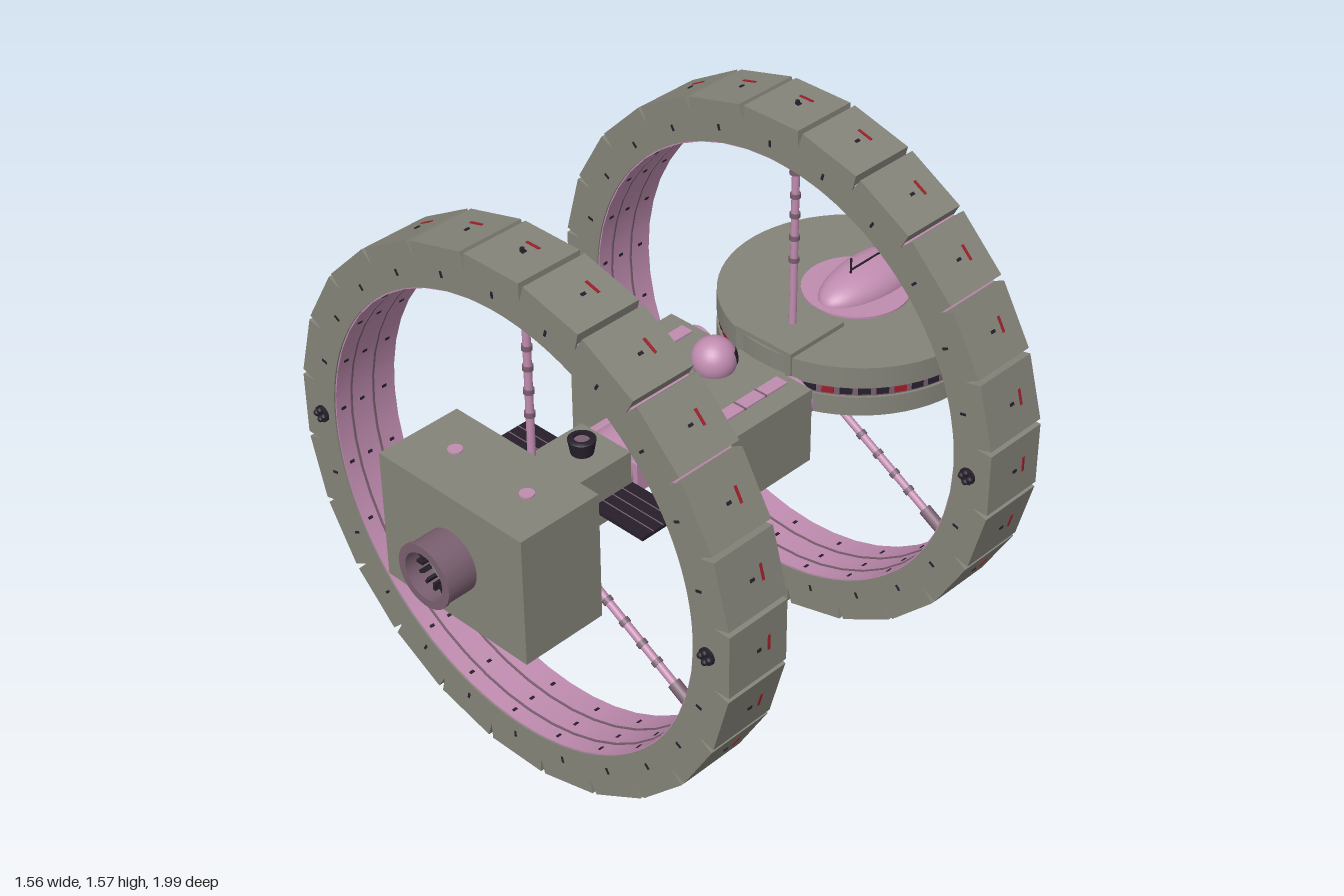
import * as THREE from 'three';
import { toCreasedNormals } from 'three/addons/utils/BufferGeometryUtils.js';

const mat = (name, color) => {
  const m = new THREE.MeshStandardMaterial({ color });
  m.name = name;
  return m;
};
const CY = 0.785; // height of the main axis

export function createModel() {
  const grey = mat('hull grey', 0x85847a);
  const pink = mat('panel pink', 0xc08cb0);
  const mauve = mat('dark mauve', 0x7a5f70);
  const black = mat('near black', 0x261f2b);
  const red = mat('marker red', 0x9c1f2a);
  const root = new THREE.Group();
  root.name = 'ringShip';

  const add = (parent, name, geo, material, x = 0, y = 0, z = 0) => {
    const m = new THREE.Mesh(geo, material);
    m.name = name;
    m.position.set(x, y, z);
    parent.add(m);
    return m;
  };
  // box given by its limits
  const block = (name, material, x0, x1, y0, y1, z0, z1, parent = root) =>
    add(parent, name, new THREE.BoxGeometry(x1 - x0, y1 - y0, z1 - z0), material,
      (x0 + x1) / 2, (y0 + y1) / 2, (z0 + z1) / 2);
  const cyl = (r, h, n = 24, r2 = r) => new THREE.CylinderGeometry(r, r2, h, n);
  const cylZ = (r, h, n = 24) => cyl(r, h, n).rotateX(Math.PI / 2);
  // closed lathe profile with sharp edges
  const lathe = (pts, n = 48) => toCreasedNormals(
    new THREE.LatheGeometry([...pts, pts[0]].map(p => new THREE.Vector2(...p)), n), 0.6);

  // ---- habitat rings ----
  const N = 24, A = Math.PI / N, D = 0.205, R = 0.775;
  const t = Math.tan(A), R1 = 0.725;
  const segShape = new THREE.Shape();
  segShape.absarc(0, 0, 0.656, Math.PI / 2 + A, Math.PI / 2 - A, true);
  segShape.lineTo(R1 * t, R1);
  segShape.lineTo(R * t - 0.008, R);
  segShape.lineTo(-R * t + 0.008, R);
  segShape.lineTo(-R1 * t, R1);
  const segGeo = new THREE.ExtrudeGeometry(segShape, { depth: D - 0.004, bevelEnabled: false, curveSegments: 3 });
  segGeo.translate(0, 0, -D / 2 + 0.004);
  // lining closes the gaps and carries the pink band on the rear side
  const liningGeo = lathe([[0.653, -D / 2], [0.692, -D / 2], [0.692, -D / 2 + 0.008],
    [0.748, -D / 2 + 0.008], [0.748, D / 2 - 0.006], [0.653, D / 2 - 0.004]]).rotateX(Math.PI / 2);
  const dashGeo = new THREE.BoxGeometry(0.045, 0.004, 0.008);
  const dotGeo = new THREE.BoxGeometry(0.008, 0.006, 0.014);
  const faceDotGeo = new THREE.BoxGeometry(0.007, 0.018, 0.004);

  const makeRing = (name, z) => {
    const ring = new THREE.Group();
    ring.name = name;
    ring.position.set(0, CY, z);
    root.add(ring);
    add(ring, 'ringLining', liningGeo, pink);
    for (const s of [-0.03, 0.045]) {
      add(ring, 'liningRib', lathe([[0.65, s], [0.655, s], [0.655, s + 0.006], [0.65, s + 0.006]])
        .rotateX(Math.PI / 2), mauve);
    }
    for (let i = 0; i < N; i++) {
      const seg = new THREE.Group();
      seg.name = 'ringSegment';
      seg.rotation.z = i * 2 * A;
      ring.add(seg);
      add(seg, 'segmentHull', segGeo, grey);
      add(seg, 'marker', dashGeo, red, 0, R, -0.035);
      add(seg, 'outerPort', dotGeo, black, 0.005, R, 0);
      add(seg, 'facePort', faceDotGeo, black, 0, 0.7, D / 2);
      add(seg, 'rearPort', faceDotGeo, black, 0, 0.7, -D / 2);
      for (const s of [-0.065, 0.012, 0.075]) add(seg, 'innerPort', dotGeo, black, 0.03, 0.652, s);
    }
    // top and bottom nubs
    for (const s of [-1, 1]) add(ring, 'navLight', cyl(0.006, 0.01, 8), black, 0, s * 0.78, 0);
    // side thruster clusters
    for (const sx of [-1, 1]) for (const sz of [-1, 1]) {
      add(ring, 'thrusterBase', cylZ(0.024, 0.01, 12), black, sx * 0.705, 0, sz * (D / 2 + 0.003));
      for (let k = 0; k < 4; k++) {
        const a = k * Math.PI / 2;
        add(ring, 'thrusterNozzle', new THREE.SphereGeometry(0.009, 8, 6), black,
          sx * 0.705 + 0.014 * Math.cos(a), 0.014 * Math.sin(a), sz * (D / 2 + 0.011));
      }
    }
    // three spokes
    for (let k = 0; k < 3; k++) {
      const spoke = new THREE.Group();
      spoke.name = 'spoke';
      spoke.rotation.z = k * Math.PI * 2 / 3;
      ring.add(spoke);
      add(spoke, 'spokeTube', cyl(0.011, 0.6, 12), pink, 0, 0.355, 0);
      add(spoke, 'spokeCollar', cyl(0.018, 0.09, 12), mauve, 0, 0.612, 0);
      for (const r of [0.3, 0.37, 0.44, 0.5]) add(spoke, 'spokeBand', cyl(0.0145, 0.014, 12), mauve, 0, r, 0);
    }
  };
  makeRing('frontRing', 0.6275);
  makeRing('rearRing', -0.3425);

  // ---- front engine block ----
  block('engineBlock', grey, -0.257, 0.257, 0.595, 0.98, 0.645, 0.905);
  for (const s of [-1, 1]) {
    add(root, 'blockCap', cyl(0.02, 0.006), pink, s * 0.13, 0.981, 0.765);
    add(root, 'blockCapLower', cyl(0.02, 0.006), pink, s * 0.13, 0.594, 0.765);
  }
  add(root, 'nozzle', lathe([[0.068, 0.9], [0.088, 0.9], [0.088, 0.99], [0.092, 0.99], [0.092, 1], [0.068, 1]], 32)
    .rotateX(Math.PI / 2), mauve, 0, CY, 0);
  add(root, 'nozzleInside', cylZ(0.07, 0.02, 32), black, 0, CY, 0.91);
  add(root, 'nozzleCore', cylZ(0.042, 0.04), grey, 0, CY, 0.925);
  for (let k = 0; k < 12; k++) {
    const a = k * Math.PI / 6;
    const tooth = add(root, 'nozzleVane', new THREE.BoxGeometry(0.022, 0.008, 0.06), black,
      0.05 * Math.cos(a), CY + 0.05 * Math.sin(a), 0.94);
    tooth.rotation.z = a;
  }

  // ---- spine ----
  block('frontSpine', grey, -0.09, 0.09, 0.7, 0.873, 0.37, 0.65);
  add(root, 'spineDrum', cylZ(0.088, 0.14, 32), pink, 0, CY, 0.305);
  for (const s of [-1, 1]) {
    block('drumRail', pink, s * 0.09 - 0.012, s * 0.09 + 0.012, 0.74, 0.83, 0.24, 0.36);
    // solar panels
    block('solarPanel', black, s * 0.195 - 0.09, s * 0.195 + 0.09, 0.779, 0.79, 0.38, 0.525);
    for (const z of [0.415, 0.45, 0.485]) {
      block('panelLine', mauve, s * 0.195 - 0.09, s * 0.195 + 0.09, 0.788, 0.791, z, z + 0.003);
    }
  }
  add(root, 'hatchRing', lathe([[0.022, 0.87], [0.03, 0.87], [0.038, 0.915], [0.03, 0.92], [0.022, 0.92]], 20), black, 0, 0, 0.455);
  add(root, 'hatchCore', cyl(0.024, 0.04, 16), mauve, 0, 0.89, 0.455);

  // ---- middle module ----
  block('middleModule', grey, -0.257, 0.257, 0.66, 0.89, -0.135, 0.245);
  add(root, 'observationDome', new THREE.SphereGeometry(0.063, 28, 18), pink, 0, 0.917, -0.033);
  add(root, 'domeWindow', new THREE.SphereGeometry(0.0645, 16, 8, Math.PI * 0.12, Math.PI * 0.76, 1.05, 0.6)
    .rotateY(Math.PI), black, 0, 0.917, -0.033);
  for (const s of [-1, 1]) {
    block('roofTube', pink, s * 0.173 - 0.02, s * 0.173 + 0.02, 0.885, 0.895, -0.11, 0.2);
    for (const z of [-0.03, 0.05, 0.13]) {
      block('roofTubeBand', mauve, s * 0.173 - 0.021, s * 0.173 + 0.021, 0.886, 0.896, z, z + 0.006);
    }
    // docking port on the rear wall
    add(root, 'dockingPort', cylZ(0.06, 0.04), pink, s * 0.175, 0.81, -0.148);
    add(root, 'dockingHatch', cylZ(0.043, 0.008, 6), black, s * 0.175, 0.81, -0.168);
  }

  // ---- rear neck and hub ----
  block('neck', grey, -0.085, 0.085, 0.755, 0.81, -0.24, -0.13);
  block('neckBand', pink, -0.087, 0.087, 0.765, 0.8, -0.2, -0.18);
  block('rearHub', grey, -0.1, 0.1, 0.695, 0.88, -0.44, -0.225);

  // ---- saucer ----
  const saucer = new THREE.Group();
  saucer.name = 'saucer';
  saucer.position.set(0, 0, -0.605);
  root.add(saucer);
  const disc = (name, material, r, y0, y1, n = 64) => add(saucer, name, cyl(r, y1 - y0, n), material, 0, (y0 + y1) / 2, 0);
  disc('saucerLower', grey, 0.387, 0.71, 0.77);
  disc('saucerGroove', mauve, 0.379, 0.768, 0.802);
  disc('saucerUpper', grey, 0.387, 0.8, 0.866);
  for (let k = 0; k < 48; k++) {
    const a = k * Math.PI / 24;
    const w = add(saucer, 'saucerWindow', new THREE.BoxGeometry(0.034, 0.018, 0.006), k % 4 ? black : red,
      0.379 * Math.sin(a), CY, 0.379 * Math.cos(a));
    w.rotation.y = a;
  }
  disc('canopyBase', pink, 0.154, 0.865, 0.872, 40);
  disc('bellyPlate', pink, 0.154, 0.704, 0.711, 40);
  add(saucer, 'bellyDome', new THREE.SphereGeometry(0.055, 24, 12).scale(1, 0.6, 1), mauve, 0, 0.708, -0.045);

  // canopy: pink shell with dark glazed nose pointing aft
  const shell = (t0, t1) => new THREE.SphereGeometry(1, 32, 16, 0, Math.PI * 2, t0, t1)
    .rotateX(-Math.PI / 2).scale(0.092, 0.068, 0.2);
  add(saucer, 'canopyShell', shell(1.2, Math.PI - 1.2), pink, 0, 0.868, -0.065);
  add(saucer, 'canopyGlass', shell(0, 1.2), black, 0, 0.868, -0.065);
  add(saucer, 'canopySpine', new THREE.SphereGeometry(1, 24, 12).scale(0.045, 0.062, 0.15), pink, 0, 0.876, -0.07);
  add(saucer, 'antennaMast', cyl(0.003, 0.05, 6), black, 0, 0.95, 0.025);
  add(saucer, 'antennaBoom', cylZ(0.003, 0.2, 6), black, 0, 0.938, -0.075);

  return root;
}
